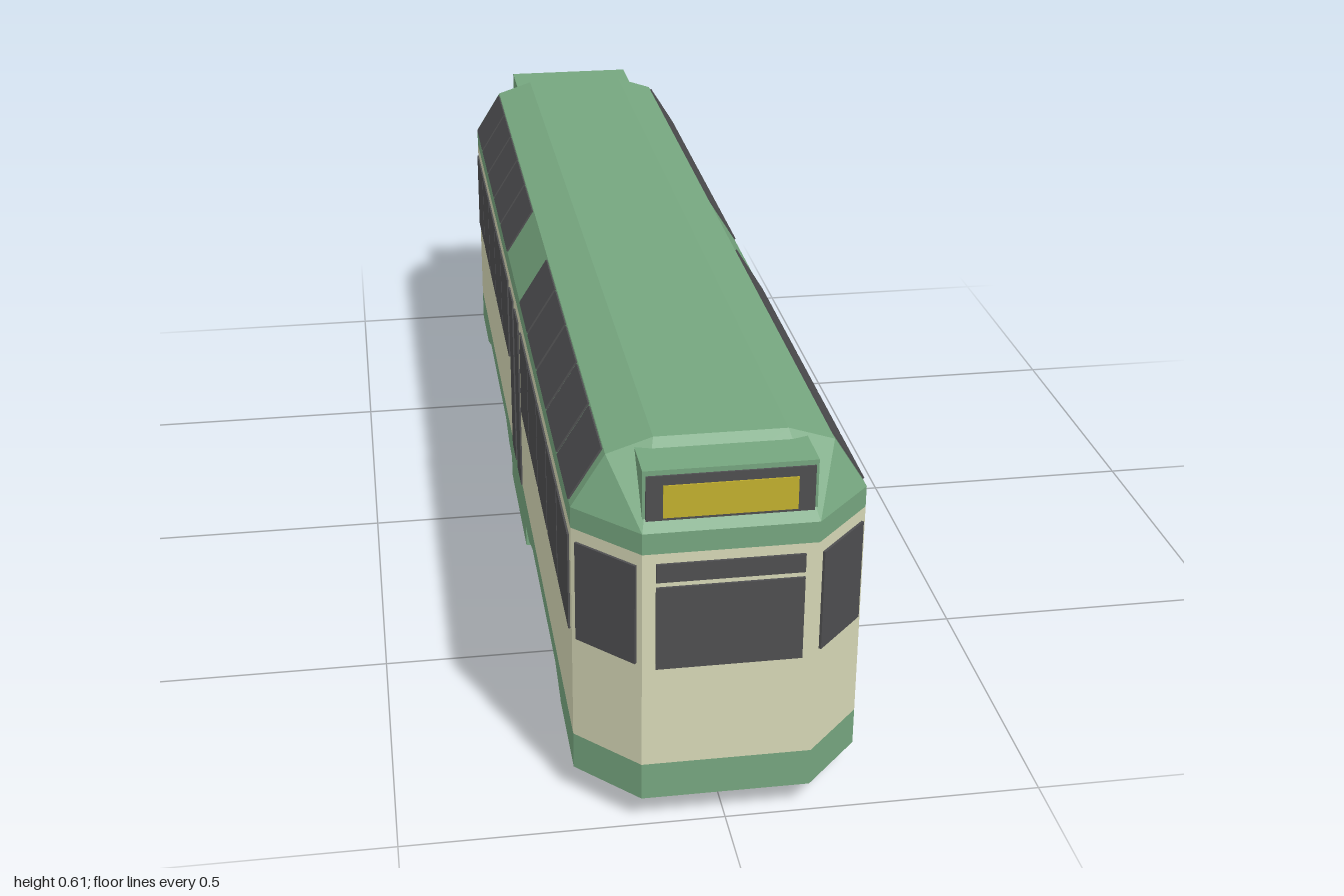
import * as THREE from 'three';

const mat = (name, color, side = THREE.FrontSide) => {
  const m = new THREE.MeshStandardMaterial({ color, side });
  m.name = name;
  return m;
};

export function createModel() {
  const green = mat('green paint', 0x76a67f, THREE.DoubleSide);
  const cream = mat('cream paint', 0xd6d7b6, THREE.DoubleSide);
  const dark = mat('dark grey', 0x4e4e50);
  const yellow = mat('sign yellow', 0xc2b02e);

  const tram = new THREE.Group();
  tram.name = 'tram';

  const add = (name, geometry, material, pos = [0, 0, 0], rot = [0, 0, 0]) => {
    const m = new THREE.Mesh(geometry, material);
    m.name = name;
    m.position.set(...pos);
    m.rotation.set(...rot);
    tram.add(m);
    return m;
  };
  const box = (name, material, size, pos, rot) =>
    add(name, new THREE.BoxGeometry(...size), material, pos, rot);

  // Flat-shaded surface from convex polygons, each cut into a fan
  const faces = (polys) => {
    const v = [];
    for (const p of polys)
      for (let i = 1; i < p.length - 1; i++) v.push(...p[0], ...p[i], ...p[i + 1]);
    const g = new THREE.BufferGeometry();
    g.setAttribute('position', new THREE.Float32BufferAttribute(v, 3));
    g.computeVertexNormals();
    return g;
  };
  // Upright wall along a plan path of [x, z] points
  const wall = (path, y0, y1) => faces(path.slice(1).map(([bx, bz], i) => {
    const [ax, az] = path[i];
    return [[ax, y0, az], [bx, y0, bz], [bx, y1, bz], [ax, y1, az]];
  }));

  // Main dimensions: half widths, and corner and end positions along z
  const W = 0.222, N = 0.13;
  const ends = [
    { s: 1, corner: 0.905, tip: 1.0, sign: 0.985 },
    { s: -1, corner: -0.88, tip: -0.988, sign: -0.994 },
  ];
  const endPath = ({ s, corner, tip }) =>
    [[-W * s, corner], [-N * s, tip], [N * s, tip], [W * s, corner]];

  // Body walls
  const plan = [...endPath(ends[0]), ...endPath(ends[1])];
  plan.push(plan[0]);
  add('creamWalls', wall(plan, 0.11, 0.473), cream);
  add('greenUpperBand', wall(plan, 0.473, 0.507), green);

  // Underframe with wheel arches and a low step box in the middle
  const half = [[0.145, 0.01], [0.145, 0.05], [0.205, 0.052], [0.275, 0.075],
    [0.65, 0.075], [0.725, 0.05], [0.725, 0.11]];
  const profile = new THREE.Shape([
    ...half.map(([z, y]) => new THREE.Vector2(z, y)),
    ...half.slice().reverse().map(([z, y]) => new THREE.Vector2(-z, y)),
  ]);
  const frame = new THREE.ExtrudeGeometry(profile, { depth: 2 * W, bevelEnabled: false });
  frame.translate(0, 0, -W);
  frame.rotateY(-Math.PI / 2);
  add('underframe', frame, green);

  // Roof: two slopes on each side, a flat top and a folded hood at each end
  const section = [[W, 0.507], [0.17, 0.59], [0.1, 0.613], [-0.1, 0.613], [-0.17, 0.59], [-W, 0.507]];
  const [zf, zb] = ends.map((e) => e.corner);
  add('roof', faces(section.slice(1).map(([bx, by], i) => {
    const [ax, ay] = section[i];
    return [[ax, ay, zf], [ax, ay, zb], [bx, by, zb], [bx, by, zf]];
  })), green);

  for (const e of ends) {
    const { s, corner, tip, sign } = e;
    const path = endPath(e);
    add('endSkirt', wall([[-W * s, 0.725 * s], ...path, [W * s, 0.725 * s]], 0.048, 0.11), green);

    const at = (i) => [section[i][0] * s, section[i][1], corner];
    const L = [-N * s, 0.507, tip], R = [N * s, 0.507, tip];
    add('roofHood', faces([
      [R, at(0), at(1)], [R, at(1), at(2)],
      [L, R, at(2), at(3)],
      [L, at(3), at(4)], [L, at(4), at(5)],
    ]), green);

    // Destination sign
    const inner = corner - 0.03 * s;
    box('signBox', green, [0.256, 0.087, Math.abs(sign - inner)], [0, 0.5565, (sign + inner) / 2]);
    box('signFrame', dark, [0.247, 0.074, 0.006], [0, 0.555, sign]);
    box('signPanel', yellow, [0.197, 0.052, 0.004], [0, 0.551, sign + 0.003 * s]);

    // End windows
    box('endWindow', dark, [0.22, 0.138, 0.008], [0, 0.349, tip]);
    box('endTopWindow', dark, [0.22, 0.03, 0.008], [0, 0.442, tip]);
    for (const k of [1, -1]) {
      const angle = Math.atan2(k * Math.abs(tip - corner), s * (W - N));
      box('cornerWindow', dark, [0.112, 0.166, 0.008],
        [k * (W + N) / 2, 0.37, (tip + corner) / 2], [0, angle, 0]);
    }
  }

  // Side windows, roof windows and doors
  for (const k of [1, -1]) {
    for (const start of [0.885, -0.115])
      for (let i = 0; i < 5; i++) {
        const w = i === 4 && start > 0 ? 0.138 : 0.143;
        const z = start - i * 0.152 - w / 2;
        box('sideWindow', dark, [0.006, 0.163, w], [k * W, 0.369, z]);
        box('roofWindow', dark, [0.006, 0.094, w], [k * 0.196, 0.5485, z], [0, 0, k * 0.56]);
      }
    for (const z of [0.06, -0.044])
      box('doorPanel', dark, [0.006, 0.336, 0.07], [k * W, 0.282, z]);
  }

  // Bogies with wheels
  const wheel = new THREE.CylinderGeometry(0.055, 0.055, 0.03, 20);
  wheel.rotateZ(Math.PI / 2);
  for (const c of [0.42, -0.45]) {
    box('bogie', dark, [0.31, 0.05, 0.23], [0, 0.054, c]);
    for (const dz of [0.115, -0.115])
      for (const x of [0.169, -0.166]) add('wheel', wheel, dark, [x, 0.055, c + dz]);
  }
  return tram;
}
